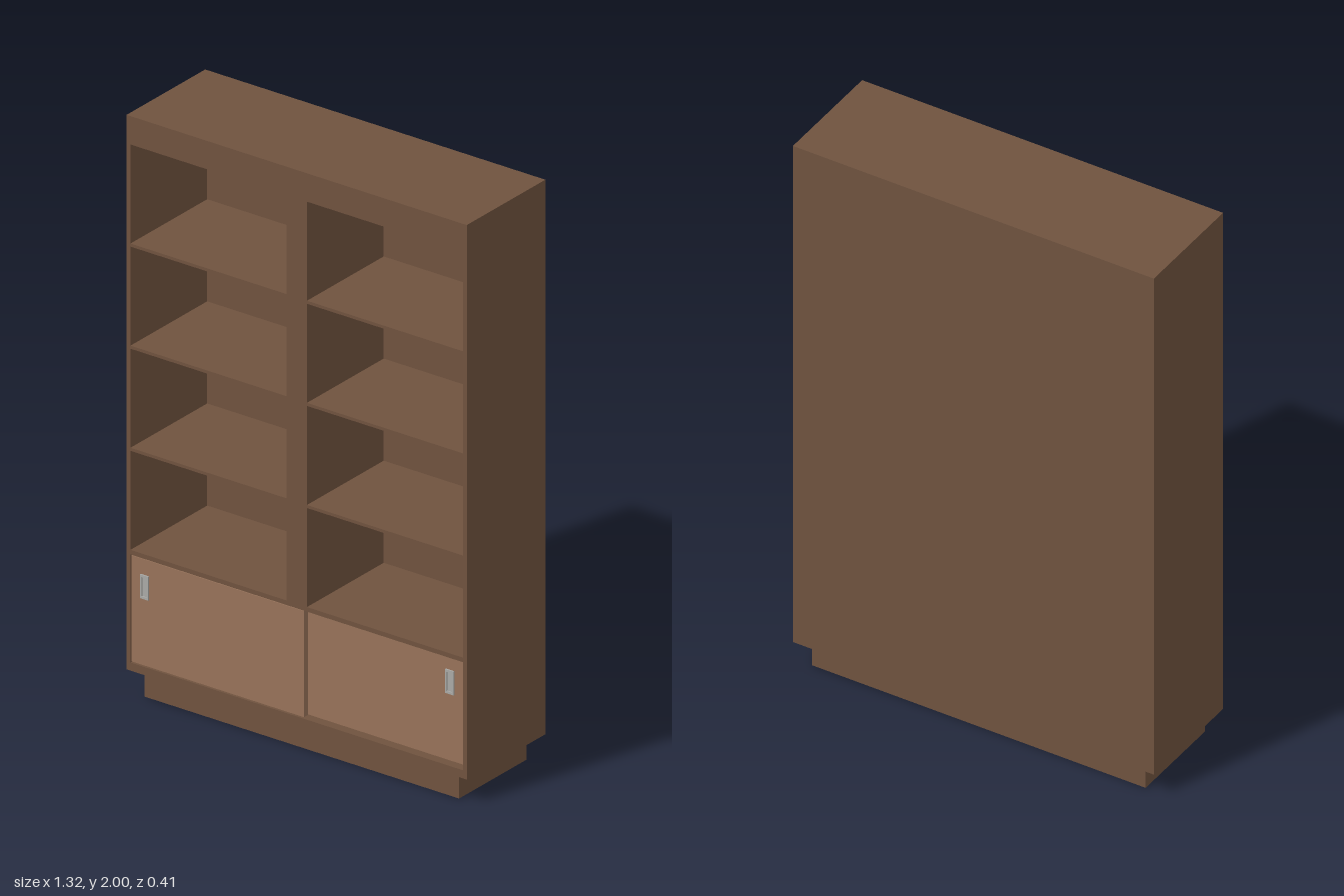
import * as THREE from 'three';

const wood = new THREE.MeshStandardMaterial({ color: 0x70533f });
const doorWood = new THREE.MeshStandardMaterial({ color: 0x98735a });
const metal = new THREE.MeshStandardMaterial({ color: 0xaaaaa6 });

// Box given by its minimum and maximum on each axis
function box(name, [x0, x1], [y0, y1], [z0, z1], material) {
  const mesh = new THREE.Mesh(new THREE.BoxGeometry(x1 - x0, y1 - y0, z1 - z0), material);
  mesh.position.set((x0 + x1) / 2, (y0 + y1) / 2, (z0 + z1) / 2);
  mesh.name = name;
  return mesh;
}

function rectangle(PathType, x0, x1, y0, y1) {
  return new PathType([[x0, y0], [x1, y0], [x1, y1], [x0, y1]].map(([x, y]) => new THREE.Vector2(x, y)));
}

// Upright rectangular outline with openings, extruded along z
function pierced(name, outline, holes, z0, z1, material) {
  const shape = rectangle(THREE.Shape, ...outline);
  for (const hole of holes) shape.holes.push(rectangle(THREE.Path, ...hole));
  const geometry = new THREE.ExtrudeGeometry(shape, { depth: z1 - z0, bevelEnabled: false });
  const mesh = new THREE.Mesh(geometry, material);
  mesh.position.z = z0;
  mesh.name = name;
  return mesh;
}

// Flush pull: thin rim around a sunken plate
function pull(name, x, z) {
  const group = new THREE.Group();
  group.name = name;
  group.add(
    pierced('pullRim', [x - 0.016, x + 0.016, 0.352, 0.434], [[x - 0.01, x + 0.01, 0.36, 0.426]], z, z + 0.005, metal),
    box('pullPlate', [x - 0.01, x + 0.01], [0.36, 0.426], [z, z + 0.001], metal)
  );
  return group;
}

export function createModel() {
  const model = new THREE.Group();
  model.name = 'bookcase';
  const back = -0.205, panel = -0.195, front = 0.202;

  // Plinth
  model.add(box('plinth', [-0.61, 0.61], [0, 0.09], [-0.173, 0.175], wood));

  // Carcass: four open bays in each column, one wide cupboard below
  const openings = [[-0.645, 0.645, 0.118, 0.49]];
  for (let row = 0; row < 4; row++) {
    const y = 0.506 + row * 0.3517;
    openings.push([-0.645, -0.04, y, y + 0.341], [0.04, 0.645, y, y + 0.341]);
  }
  model.add(pierced('carcass', [-0.66, 0.66, 0.09, 2], openings, panel, front, wood));
  model.add(box('backPanel', [-0.66, 0.66], [0.09, 2], [back, panel], wood));
  model.add(box('cupboardDivider', [-0.04, 0.04], [0.118, 0.49], [panel, 0.14], wood));

  // Two overlapping sliding doors, the right one running in front
  model.add(box('rightDoor', [-0.643, 0.027], [0.122, 0.487], [0.18, 0.2], doorWood));
  model.add(box('leftDoor', [-0.02, 0.643], [0.122, 0.487], [0.156, 0.176], doorWood));
  model.add(pull('rightPull', -0.59, 0.2), pull('leftPull', 0.576, 0.176));

  return model;
}
